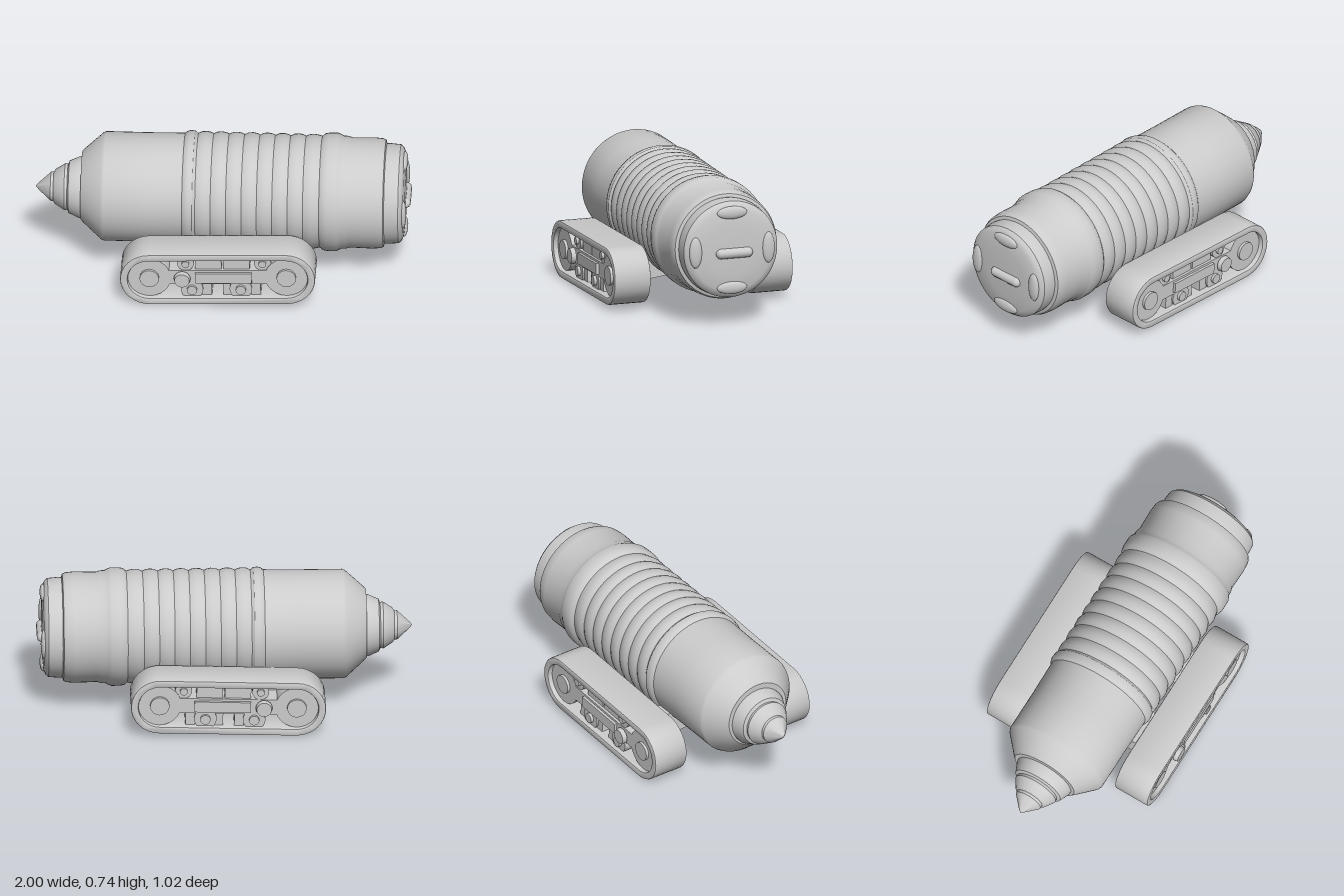
import * as THREE from 'three';
import { toCreasedNormals } from 'three/addons/utils/BufferGeometryUtils.js';

const material = new THREE.MeshStandardMaterial({ color: 0xcccccc });
const AXIS_Y = 0.425;

function add(parent, name, geometry, x = 0, y = 0, z = 0) {
  const mesh = new THREE.Mesh(geometry, material);
  mesh.name = name;
  mesh.position.set(x, y, z);
  parent.add(mesh);
  return mesh;
}

// Surface of revolution around the x axis, from [x, radius] pairs
function lathe(parent, name, pairs) {
  const points = pairs.map(([x, r]) => new THREE.Vector2(r, x));
  const geometry = toCreasedNormals(new THREE.LatheGeometry(points, 56), 0.6);
  geometry.rotateZ(-Math.PI / 2);
  return add(parent, name, geometry, 0, AXIS_Y, 0);
}

// Slanted stadium outline of the track, shrunk by an inset
function trackOutline(inset, Type) {
  const path = new Type();
  const r = 0.155 - inset;
  const tilt = Math.atan2(0.025, 0.73);
  const steps = 16;
  for (let end = 0; end < 2; end++) {
    const cx = end ? -0.372 : 0.357;
    const cy = end ? 0.158 : 0.182;
    for (let i = 0; i <= steps; i++) {
      const a = tilt + (end ? Math.PI / 2 : -Math.PI / 2) + Math.PI * i / steps;
      const x = cx + Math.cos(a) * r;
      const y = cy + Math.sin(a) * r;
      if (end + i === 0) path.moveTo(x, y);
      else path.lineTo(x, y);
    }
  }
  path.closePath();
  return path;
}

function trackUnit(side) {
  const unit = new THREE.Group();
  unit.name = side > 0 ? 'frontTrack' : 'backTrack';
  unit.position.z = side * 0.4;

  // Belt loop with a rounded rim
  const shape = trackOutline(0.008, THREE.Shape);
  shape.holes.push(trackOutline(0.032, THREE.Path));
  const belt = new THREE.ExtrudeGeometry(shape, {
    depth: 0.188, bevelEnabled: true, bevelThickness: 0.008, bevelSize: 0.008, bevelSegments: 2,
  });
  belt.translate(0, 0, -0.094);
  add(unit, 'trackBelt', toCreasedNormals(belt, 0.6));

  const frame = new THREE.Group();
  frame.name = 'trackFrame';
  frame.rotation.z = 0.033;
  frame.position.set(-0.007, 0.17, 0);
  unit.add(frame);

  // Central beam with a raised plate
  add(frame, 'frameBeam', new THREE.BoxGeometry(0.74, 0.085, 0.15));
  add(frame, 'framePlate', new THREE.BoxGeometry(0.3, 0.06, 0.18), 0.03, 0, 0);

  // Wheels with hubs: large at the ends, small along the bottom and top
  const wheel = (name, x, y, r, depth) => {
    add(frame, name, new THREE.CylinderGeometry(r, r, depth, 24).rotateX(Math.PI / 2), x, y, 0);
    add(frame, name + 'Hub', new THREE.CylinderGeometry(r * 0.45, r * 0.45, depth + 0.03, 16).rotateX(Math.PI / 2), x, y, 0);
  };
  for (const x of [-0.365, 0.365]) wheel('endWheel', x, 0, 0.115, 0.15);
  for (const x of [-0.14, 0.12]) wheel('roadWheel', x, -0.075, 0.06, 0.15);
  for (const x of [-0.17, 0.24]) wheel('returnRoller', x, 0.085, 0.045, 0.14);

  // Brackets joining the beam to the belt
  for (const x of [-0.06, 0.05, 0.2]) add(frame, 'lowerBracket', new THREE.BoxGeometry(0.05, 0.11, 0.13), x, -0.08, 0);
  for (const x of [-0.05, 0.1]) add(frame, 'upperBracket', new THREE.BoxGeometry(0.14, 0.1, 0.12), x, 0.085, 0);

  // Axle cap on the outer face
  add(frame, 'axleCap', new THREE.CylinderGeometry(0.04, 0.045, 0.025, 16).rotateX(side * Math.PI / 2), -0.19, 0, side * 0.1);
  return unit;
}

export function createModel() {
  const model = new THREE.Group();
  model.name = 'drillingMachine';

  // Stepped drill tip
  lathe(model, 'drillTip', [
    [-1, 0], [-0.985, 0.018], [-0.92, 0.077], [-0.905, 0.078], [-0.897, 0.092],
    [-0.845, 0.125], [-0.83, 0.122], [-0.822, 0.14], [-0.765, 0.165], [-0.75, 0.165], [-0.742, 0.18],
  ]).position.y = 0.413;

  // Hull: shoulder, smooth drum, ribbed section, collar and tail
  const hull = [[-0.755, 0], [-0.755, 0.185], [-0.74, 0.2], [-0.645, 0.285], [-0.63, 0.291], [-0.4, 0.291], [-0.21, 0.294],
    [-0.2, 0.303], [-0.18, 0.309], [-0.155, 0.306], [-0.145, 0.297]];
  const ribs = 8;
  const pitch = 0.082;
  for (let i = 0; i < ribs; i++) {
    const x = -0.14 + i * pitch;
    hull.push([x, 0.295], [x + 0.02, 0.304], [x + 0.045, 0.306], [x + 0.066, 0.302]);
  }
  hull.push([0.52, 0.297], [0.535, 0.31], [0.56, 0.315], [0.605, 0.315], [0.62, 0.309], [0.635, 0.301],
    [0.66, 0.3], [0.68, 0.293], [0.8, 0.296], [0.845, 0.292], [0.86, 0.284], [0.865, 0.266], [0.88, 0.268],
    [0.94, 0.263], [0.955, 0.25], [0.965, 0.225], [0.972, 0.14], [0.975, 0]);
  lathe(model, 'hull', hull);

  // Raised details on the tail plate
  add(model, 'tailBar', new THREE.CapsuleGeometry(0.028, 0.15, 6, 14).rotateX(Math.PI / 2), 0.972, 0.41, -0.01);
  const ringPads = 4;
  for (let i = 0; i < ringPads; i++) {
    const a = i * Math.PI / 2;
    const pad = add(model, 'tailPad', new THREE.SphereGeometry(1, 20, 12), 0.965, AXIS_Y + 0.205 * Math.cos(a), 0.205 * Math.sin(a));
    pad.scale.set(0.018, 0.035, 0.085);
    pad.rotation.x = a;
  }

  // Tracks and the struts carrying the hull
  for (const side of [1, -1]) {
    model.add(trackUnit(side));
    for (const x of [-0.2, 0.2]) {
      const strut = new THREE.Shape();
      strut.moveTo(0.1, 0.15);
      strut.lineTo(0.26, 0.128);
      strut.lineTo(0.35, 0.13);
      strut.lineTo(0.35, 0.21);
      strut.lineTo(0.29, 0.27);
      strut.lineTo(0.15, 0.27);
      const geometry = new THREE.ExtrudeGeometry(strut, { depth: 0.2, bevelEnabled: false });
      geometry.translate(0, 0, -0.1);
      geometry.rotateY(-side * Math.PI / 2);
      add(model, 'trackStrut', geometry, x, 0, 0);
    }
  }
  return model;
}
